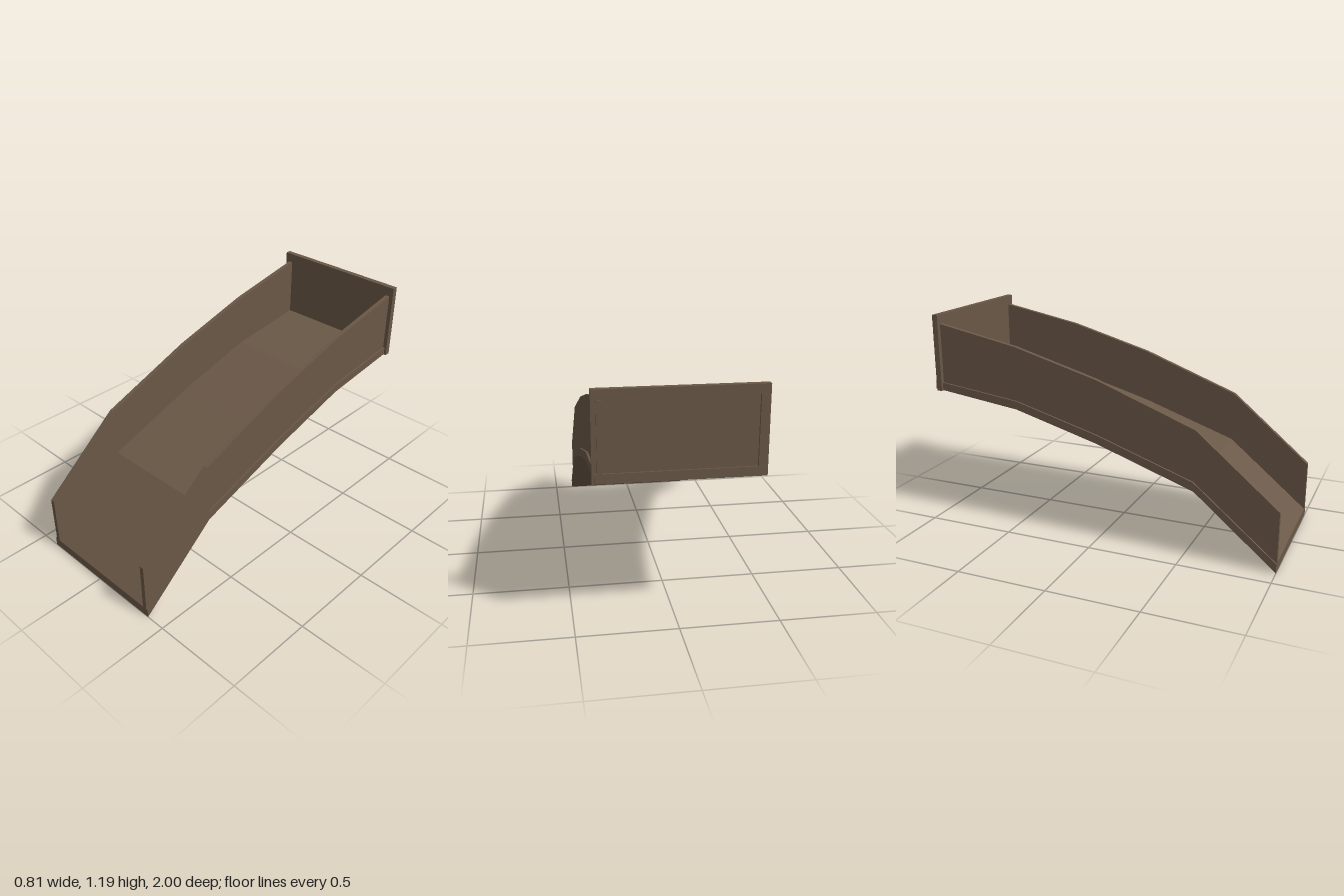
import * as THREE from 'three';

export function createModel() {
  const model = new THREE.Group();
  const wood = new THREE.MeshStandardMaterial({ color: 0x6a5847 });
  wood.name = 'brown wood';

  // Curves along the ramp as [z, y], front to back
  const underside = [[1, 0], [0.55, 0.375], [0, 0.563], [-0.48, 0.697], [-1, 0.763]];
  const deckTop = [[1, 0.05], [0.545, 0.425], [0, 0.61], [-0.48, 0.743], [-1, 0.807]];
  const wallTop = [[1, 0.33], [0.55, 0.704], [0, 0.91], [-0.48, 1.045], [-1, 1.145]];

  // Solid between two side curves, extruded across x
  function slab(name, lower, upper, width, x) {
    const outline = [...lower, ...[...upper].reverse()].map(([z, y]) => new THREE.Vector2(z, y));
    const geometry = new THREE.ExtrudeGeometry(new THREE.Shape(outline), { depth: width, bevelEnabled: false });
    geometry.translate(0, 0, -width / 2).rotateY(-Math.PI / 2);
    const mesh = new THREE.Mesh(geometry, wood);
    mesh.name = name;
    mesh.position.x = x;
    model.add(mesh);
  }

  // Bent floor and the two side walls standing on it
  slab('deck', underside, deckTop, 0.784, 0);
  slab('leftWall', deckTop, wallTop, 0.025, 0.369);
  slab('rightWall', deckTop, wallTop, 0.025, -0.369);

  // Upright panel closing the high end
  const panel = new THREE.Mesh(new THREE.BoxGeometry(0.81, 0.435, 0.032), wood);
  panel.name = 'endPanel';
  panel.position.set(0, 0.9725, -0.971);
  model.add(panel);

  return model;
}
